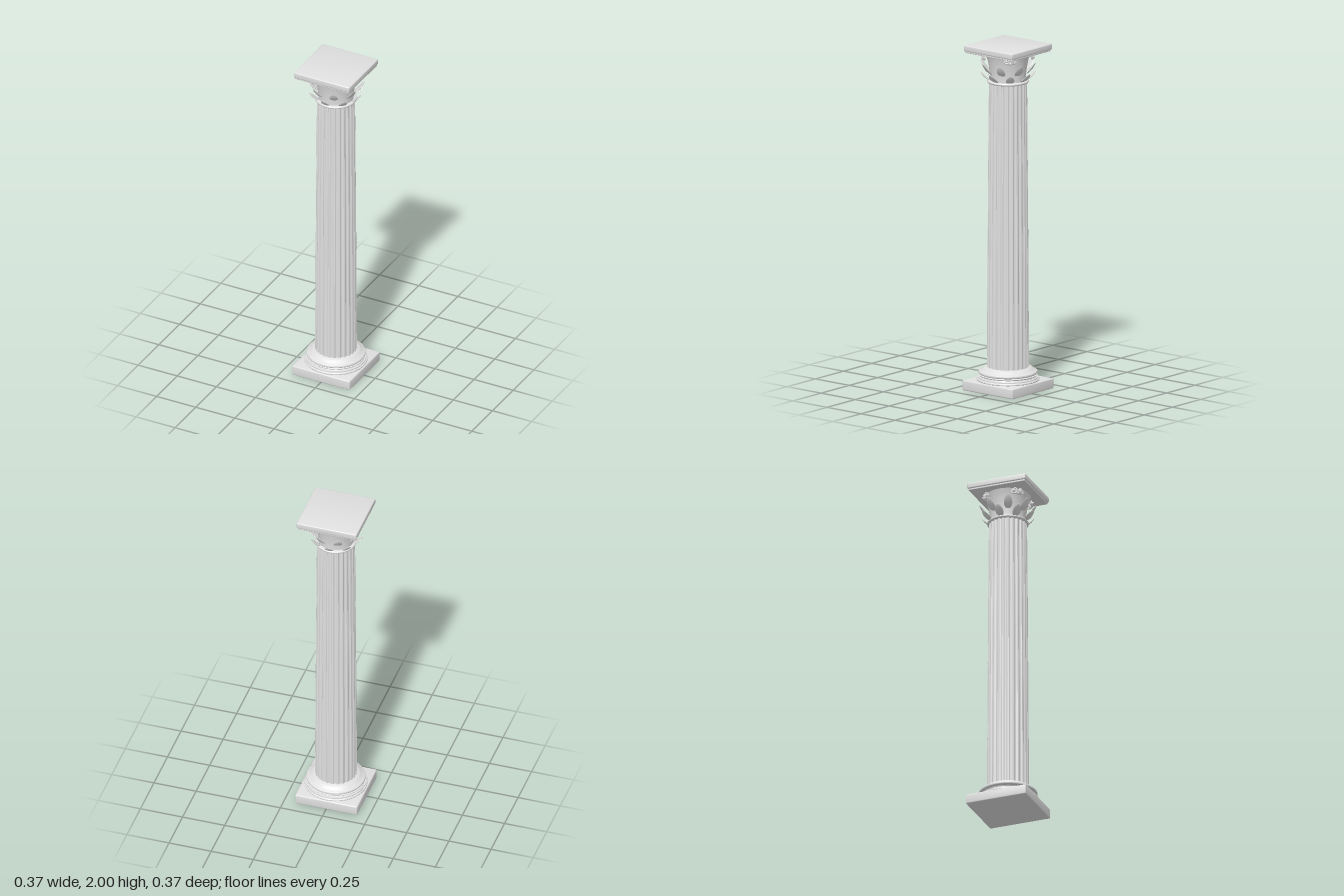
import * as THREE from 'three';
import { toCreasedNormals } from 'three/addons/utils/BufferGeometryUtils.js';
import { RoundedBoxGeometry } from 'three/addons/geometries/RoundedBoxGeometry.js';

export function createModel() {
  const column = new THREE.Group();
  column.name = 'column';
  const stone = new THREE.MeshStandardMaterial({ color: 0xe0e0e0 });
  stone.name = 'stone';

  function add(name, geometry, parent = column) {
    const mesh = new THREE.Mesh(geometry, stone);
    mesh.name = name;
    parent.add(mesh);
    return mesh;
  }

  // Square slab with softened edges; normals lean slightly outwards for a smooth look
  function slab(name, half, y0, y1, bevel) {
    const h = y1 - y0;
    const g = new RoundedBoxGeometry(half * 2, h, half * 2, 2, bevel);
    const pos = g.attributes.position, nor = g.attributes.normal;
    const n = new THREE.Vector3(), lean = new THREE.Vector3();
    for (let i = 0; i < pos.count; i++) {
      lean.set(pos.getX(i) / half, pos.getY(i) / h * 2, pos.getZ(i) / half);
      n.fromBufferAttribute(nor, i).addScaledVector(lean, 0.16).normalize();
      nor.setXYZ(i, n.x, n.y, n.z);
    }
    add(name, g).position.y = (y0 + y1) / 2;
  }

  function turned(name, points) {
    const profile = points.map(([r, y]) => new THREE.Vector2(r, y));
    add(name, toCreasedNormals(new THREE.LatheGeometry(profile, 64), 0.7));
  }

  // Half-round moulding bulging outwards
  function bulge(r, y0, y1, depth) {
    return Array.from({ length: 9 }, (_, i) => {
      const a = (i / 8 - 0.5) * Math.PI;
      return [r + depth * Math.cos(a), (y0 + y1) / 2 + (y1 - y0) / 2 * Math.sin(a)];
    });
  }

  // Square plinth and round base
  slab('plinth', 0.184, 0, 0.058, 0.006);
  turned('base', [
    [0, 0.056], ...bulge(0.17, 0.056, 0.07, 0.0085),
    [0.17, 0.076], [0.162, 0.077], [0.159, 0.083], [0.162, 0.089], [0.166, 0.09],
    ...bulge(0.156, 0.094, 0.114, 0.012),
    [0.15, 0.119], [0.14, 0.127], [0.13, 0.134], [0, 0.134],
  ]);

  // Shaft with a gentle taper and 24 round flutes
  const y0 = 0.13, y1 = 1.785, flutes = 24;
  const shaft = new THREE.CylinderGeometry(1, 1, y1 - y0, flutes * 8, 10, true);
  const p = shaft.attributes.position;
  for (let i = 0; i < p.count; i++) {
    const t = p.getY(i) / (y1 - y0) + 0.5;
    const angle = Math.atan2(p.getX(i), p.getZ(i));
    const phase = angle * flutes / (2 * Math.PI) + 0.5;
    const u = Math.min(1, Math.abs(phase - Math.floor(phase) - 0.5) / 0.375);
    const r = 0.1185 - 0.0105 * Math.pow(t, 1.3) - 0.007 * (1 - u * u);
    p.setXYZ(i, Math.sin(angle) * r, t * (y1 - y0) + y0, Math.cos(angle) * r);
  }
  add('flutedShaft', toCreasedNormals(shaft, 0.6));

  // Neck ring and flaring bell of the capital
  turned('neckRing', [[0, 1.782], ...bulge(0.11, 1.782, 1.797, 0.008), [0, 1.797]]);
  turned('bell', [
    [0.1, 1.79], [0.101, 1.82], [0.104, 1.85], [0.109, 1.88],
    [0.115, 1.91], [0.122, 1.935], [0.13, 1.958], [0, 1.958],
  ]);

  // Oval leaf curling out and up from the bell
  function leafGeometry(r0, base, out, rise) {
    const g = new THREE.SphereGeometry(1, 16, 12);
    const q = g.attributes.position;
    for (let i = 0; i < q.count; i++) {
      const t = (q.getY(i) + 1) / 2, thick = q.getZ(i) * 0.005;
      q.setXYZ(i, q.getX(i) * 0.024,
        base + rise * (0.5 * t + 0.5 * t * t) - thick * 0.7,
        r0 + out * t + thick * 0.7);
    }
    g.computeVertexNormals();
    return g;
  }

  const leaves = new THREE.Group();
  leaves.name = 'leaves';
  column.add(leaves);
  const lowerLeaf = leafGeometry(0.1, 1.797, 0.058, 0.052);
  const upperLeaf = leafGeometry(0.106, 1.839, 0.055, 0.066);
  for (let i = 0; i < 8; i++) {
    add('lowerLeaf', lowerLeaf, leaves).rotation.y = i * Math.PI / 4;
    add('upperLeaf', upperLeaf, leaves).rotation.y = (i + 0.5) * Math.PI / 4;
  }

  // Paired scrolls under each corner of the top slab
  const spiral = new THREE.CatmullRomCurve3(Array.from({ length: 20 }, (_, i) => {
    const a = i / 19 * Math.PI * 3.2, r = 0.019 - 0.013 * i / 19;
    return new THREE.Vector3(-Math.sin(a) * r, Math.cos(a) * r, 0.006 * i / 19);
  }));
  const scroll = new THREE.TubeGeometry(spiral, 48, 0.005, 8);
  const eye = new THREE.SphereGeometry(0.008, 12, 8);
  for (let i = 0; i < 4; i++) {
    const corner = new THREE.Group();
    corner.name = 'cornerScrolls';
    corner.rotation.y = (i + 0.5) * Math.PI / 2;
    column.add(corner);
    for (const side of [-1, 1]) {
      const volute = new THREE.Group();
      volute.name = 'volute';
      volute.position.set(side * 0.021, 1.934, 0.138);
      volute.rotation.y = side * 0.45;
      corner.add(volute);
      add('scroll', scroll, volute).rotation.y = side > 0 ? 0 : Math.PI;
      add('scrollEye', eye, volute).position.z = 0.004;
    }
    add('scrollBud', eye, corner).position.set(0, 1.92, 0.143);
  }

  // Stepped square top slab
  slab('topSlabStep', 0.172, 1.956, 1.972, 0.003);
  slab('topSlab', 0.178, 1.966, 2, 0.006);

  return column;
}
